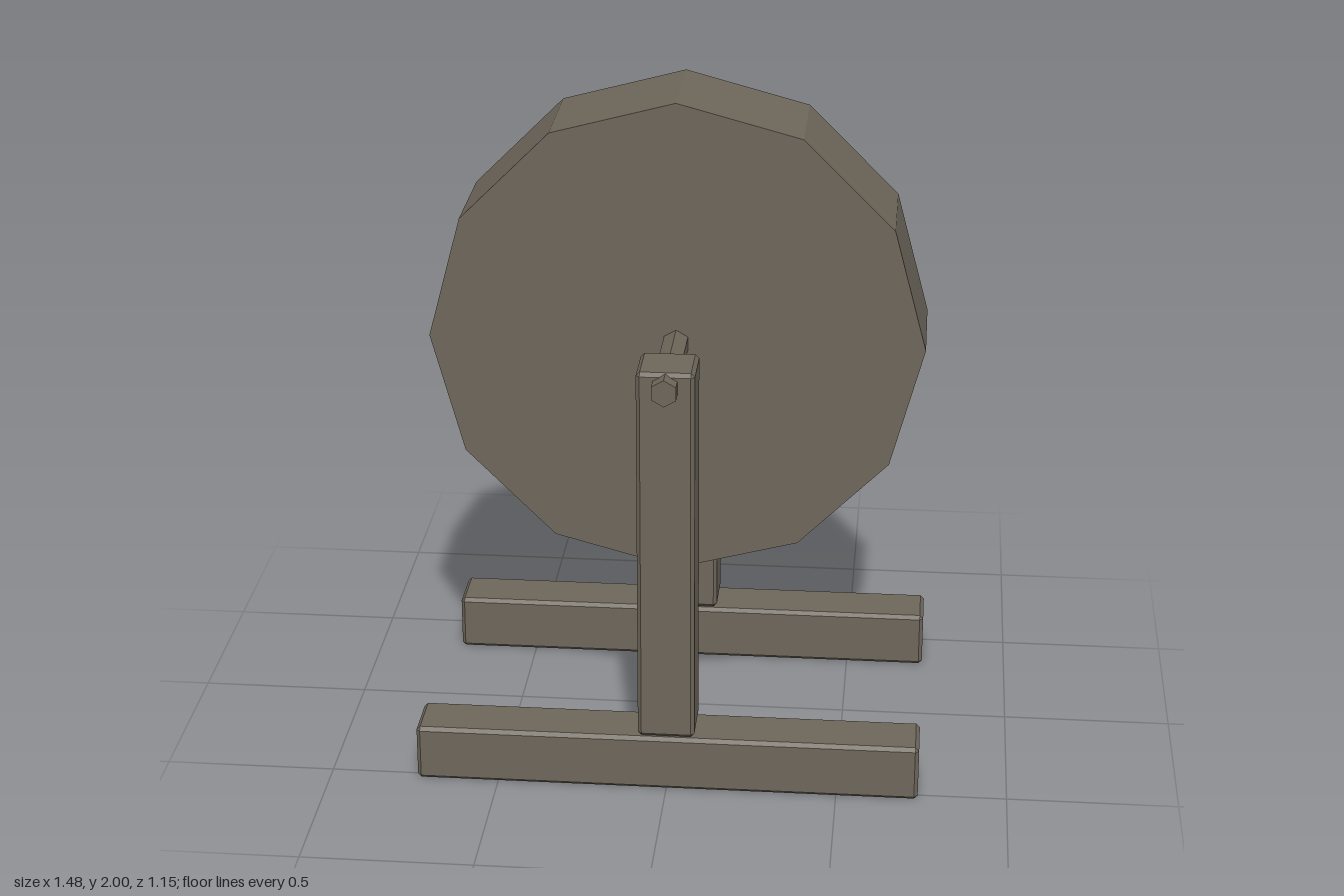
import * as THREE from 'three';
import { ConvexGeometry } from 'three/addons/geometries/ConvexGeometry.js';

const WHEEL_Y = 1.28;

// Box with chamfered edges: three corner points per corner, hulled
function chamferBox(w, h, d, c) {
  const points = [];
  for (const sx of [-1, 1]) for (const sy of [-1, 1]) for (const sz of [-1, 1]) {
    const x = w / 2, y = h / 2, z = d / 2;
    points.push(
      new THREE.Vector3(sx * x, sy * (y - c), sz * (z - c)),
      new THREE.Vector3(sx * (x - c), sy * y, sz * (z - c)),
      new THREE.Vector3(sx * (x - c), sy * (y - c), sz * z));
  }
  return new ConvexGeometry(points);
}

// Faceted prism along z, with a corner pointing up
function prism(radius, sides, z0, z1) {
  const g = new THREE.CylinderGeometry(radius, radius, z1 - z0, sides)
    .rotateX(Math.PI / 2)
    .translate(0, WHEEL_Y, (z0 + z1) / 2)
    .toNonIndexed();
  g.computeVertexNormals();
  return g;
}

export function createModel() {
  const model = new THREE.Group();
  model.name = 'grindstone';
  const stone = new THREE.MeshStandardMaterial({ color: 0x6d665a });
  stone.name = 'weathered grey brown';

  const add = (name, geometry, x = 0, y = 0, z = 0) => {
    const mesh = new THREE.Mesh(geometry, stone);
    mesh.name = name;
    mesh.position.set(x, y, z);
    model.add(mesh);
  };

  // Wheel and the axle through it
  add('wheel', prism(0.72, 12, -0.147, 0.189));
  add('axle', prism(0.04, 6, -0.53, 0.575));

  // Foot beam and upright post on each side of the wheel
  for (const [side, z] of [['front', 0.449], ['back', -0.405]]) {
    add(side + 'Foot', chamferBox(1.48, 0.17, 0.166, 0.011), 0, 0.085, z);
    add(side + 'Post', chamferBox(0.166, 1.148, 0.166, 0.011), 0, 0.748, z);
  }

  // Crank handle on the back end of the axle
  add('crank', new THREE.BoxGeometry(0.125, 0.32, 0.085), 0, 1.44, -0.532);

  return model;
}
